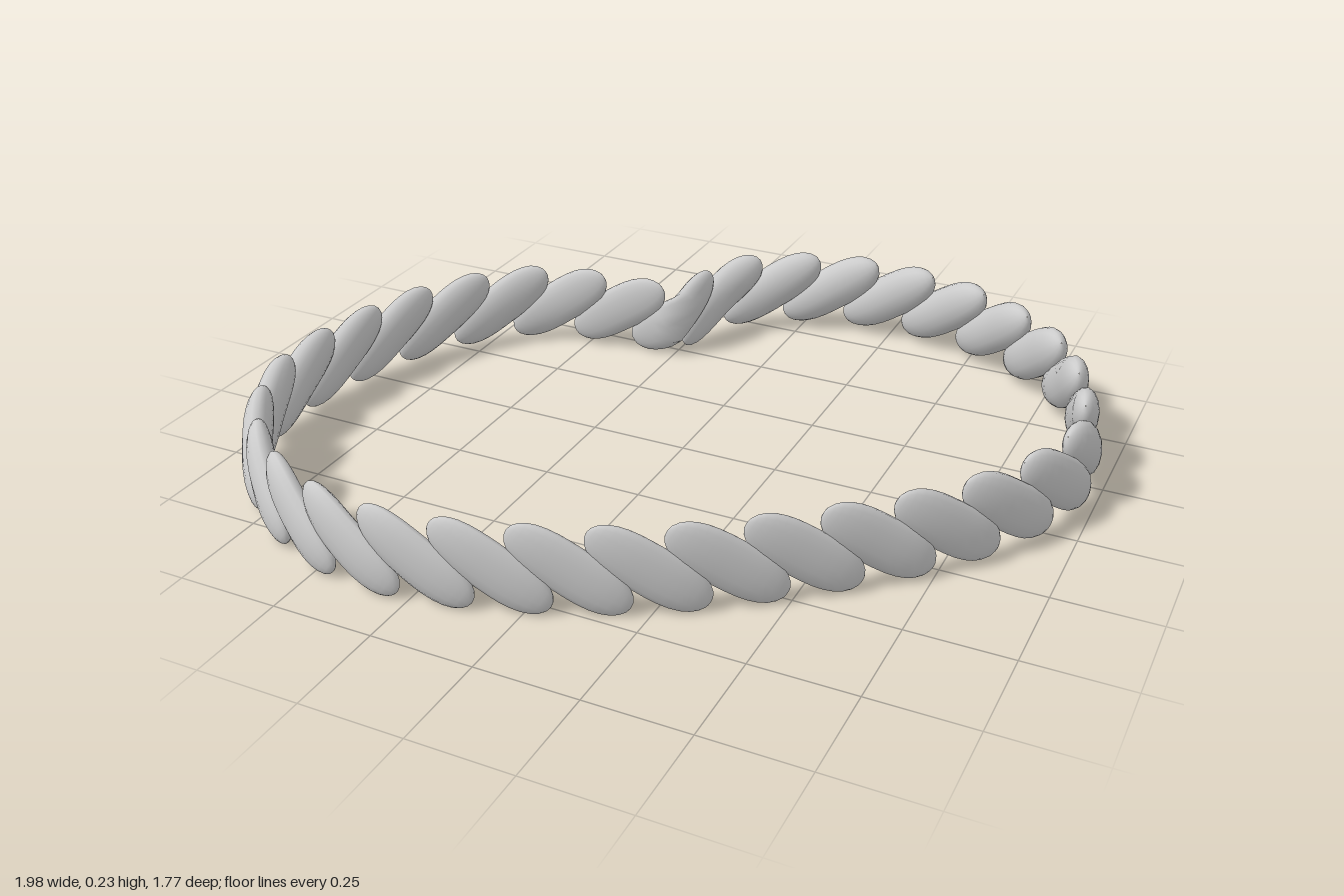
import * as THREE from 'three';

// Centre line seen from above: x, z, half thickness of the rope
const PATH = [
  [-0.24, -0.47, 0.026], [-0.45, -0.438, 0.027], [-0.64, -0.39, 0.032], [-0.82, -0.205, 0.036],
  [-0.92, 0.04, 0.04], [-0.95, 0.33, 0.044], [-0.89, 0.52, 0.041], [-0.77, 0.68, 0.038],
  [-0.63, 0.78, 0.035], [-0.47, 0.84, 0.032], [-0.32, 0.855, 0.029], [-0.13, 0.825, 0.026],
  [0.06, 0.76, 0.024], [0.25, 0.67, 0.023], [0.43, 0.545, 0.023], [0.62, 0.385, 0.025],
  [0.78, 0.22, 0.028], [0.9, 0.03, 0.033], [0.955, -0.18, 0.04], [0.89, -0.42, 0.042],
  [0.79, -0.59, 0.044], [0.56, -0.765, 0.048], [0.29, -0.835, 0.05], [0.04, -0.805, 0.048],
  [-0.17, -0.67, 0.044], [-0.24, -0.47, 0.03],
];
const STRANDS = 33, STEPS = 16, SIDES = 14;
const HALF_RUN = 0.13, HALF_RISE = 0.092; // reach of a strand along and across the band
const HALF_WIDTH = 0.062, LEAN = 0.3;

const last = PATH.length - 1;
const curve = new THREE.CatmullRomCurve3(PATH.map(([x, z], i) => {
  const dip = (i === 0 || i === last) ? 0.015 : 0;
  return new THREE.Vector3(x, 0.128 - 0.009 * z - dip, z);
}));
curve.arcLengthDivisions = 800;
const LENGTH = curve.getLength();

// Point on the band: distance along it, height, and sideways offset in half thicknesses
function bandPoint(distance, up, side) {
  const t = curve.getUtoTmapping(THREE.MathUtils.euclideanModulo(distance / LENGTH, 1));
  const k = Math.min(Math.floor(t * last), last - 1);
  const w = THREE.MathUtils.lerp(PATH[k][2], PATH[k + 1][2], t * last - k);
  const tan = curve.getTangent(t);
  const out = new THREE.Vector3(-tan.z, 0, tan.x).normalize();
  const p = curve.getPoint(t).addScaledVector(out, side * w);
  p.y += up;
  return p;
}

// One strand: a tapered spindle slanting down across the band
function strandGeometry(centre) {
  const pos = [], index = [];
  const slope = Math.atan2(HALF_RISE, HALF_RUN);
  for (let i = 0; i <= STEPS; i++) {
    const u = -Math.cos((i / STEPS) * Math.PI);
    const taper = Math.sqrt(Math.max(0.0004, 1 - Math.abs(u) ** 3));
    for (let j = 0; j < SIDES; j++) {
      const a = (j / SIDES) * Math.PI * 2;
      const across = HALF_WIDTH * taper * Math.sin(a);
      const p = bandPoint(
        centre + u * HALF_RUN + across * Math.sin(slope),
        -u * HALF_RISE + across * Math.cos(slope),
        LEAN * u + 0.9 * taper * Math.cos(a),
      );
      pos.push(p.x, p.y, p.z);
    }
  }
  for (let i = 0; i < STEPS; i++) {
    for (let j = 0; j < SIDES; j++) {
      const a = i * SIDES + j, c = i * SIDES + (j + 1) % SIDES;
      index.push(a, a + SIDES, c, c, a + SIDES, c + SIDES);
    }
  }
  const g = new THREE.BufferGeometry();
  g.setAttribute('position', new THREE.Float32BufferAttribute(pos, 3));
  g.setIndex(index);
  g.computeVertexNormals();
  return g;
}

export function createModel() {
  const group = new THREE.Group();
  group.name = 'twistedRopeLoop';
  const material = new THREE.MeshStandardMaterial({ color: 0xcccccc });
  for (let s = 0; s < STRANDS; s++) {
    const strand = new THREE.Mesh(strandGeometry((s / STRANDS) * LENGTH), material);
    strand.name = `ropeStrand${s + 1}`;
    group.add(strand);
  }
  return group;
}
